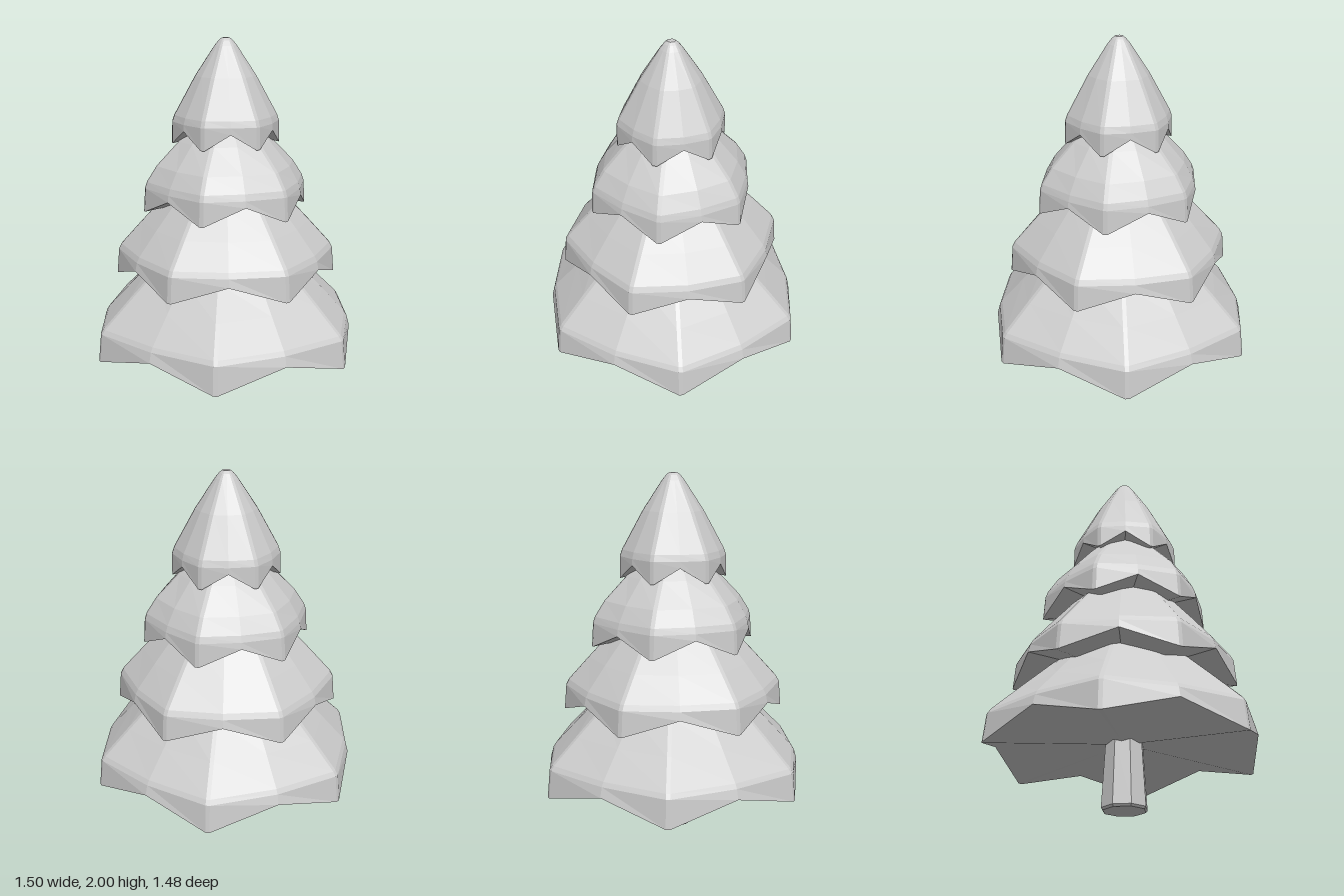
import * as THREE from 'three';

// One skirt of branches: six drooping bevelled corners with raised points between.
// rows: [corner radius, corner y, mid radius, mid y] from the rim upwards.
function tierGeometry(turn, rows, underY) {
  const pos = [], index = [], n = 18;
  for (const [r, y, mr, my] of rows) {
    const d = Math.min(0.011 / r, 0.12);
    for (let k = 0; k < 6; k++) {
      const a = THREE.MathUtils.degToRad(turn + 60 * k);
      const add = (ang, rad, h) => pos.push(Math.cos(ang) * rad, h, Math.sin(ang) * rad);
      add(a - d, r, y);
      add(a + d, r, y);
      add(a + Math.PI / 6, mr, my);
    }
  }
  const last = rows.length - 1;
  const under = pos.length / 3, cap = under + 1;
  pos.push(0, underY, 0, 0, rows[last][1], 0);
  for (let i = 0; i < n; i++) {
    const j = (i + 1) % n;
    for (let s = 0; s < last; s++) {
      const b = s * n, t = b + n;
      index.push(b + i, t + i, t + j, b + i, t + j, b + j);
    }
    index.push(under, i, j, cap, last * n + j, last * n + i);
  }
  const g = new THREE.BufferGeometry();
  g.setAttribute('position', new THREE.Float32BufferAttribute(pos, 3));
  g.setIndex(index);
  const flat = g.toNonIndexed();
  flat.computeVertexNormals();
  return flat;
}

export function createModel() {
  const tree = new THREE.Group();
  tree.name = 'pineTree';
  const grey = new THREE.MeshStandardMaterial({ color: 0xcccccc });
  grey.name = 'plain grey';
  grey.flatShading = true;

  const add = (name, geometry) => {
    const mesh = new THREE.Mesh(geometry, grey);
    mesh.name = name;
    tree.add(mesh);
  };

  // Trunk with a small bevel at the foot
  const profile = [[0, 0], [0.117, 0], [0.126, 0.012], [0.104, 0.36], [0.1, 0.45]];
  const trunk = new THREE.LatheGeometry(profile.map(([x, y]) => new THREE.Vector2(x, y)), 8);
  trunk.rotateY(0.15);
  add('trunk', trunk);

  // Branch tiers, each turned differently
  add('bottomBranches', tierGeometry(-14, [
    [0.768, 0.28, 0.71, 0.38],
    [0.752, 0.435, 0.695, 0.435],
    [0.735, 0.46, 0.68, 0.46],
    [0.59, 0.6, 0.55, 0.6],
    [0.43, 0.75, 0.41, 0.75],
    [0.28, 0.88, 0.27, 0.88],
  ], 0.36));
  add('lowerBranches', tierGeometry(10.5, [
    [0.615, 0.69, 0.57, 0.785],
    [0.603, 0.83, 0.56, 0.83],
    [0.587, 0.86, 0.545, 0.86],
    [0.47, 0.99, 0.44, 0.99],
    [0.34, 1.13, 0.32, 1.13],
    [0.2, 1.26, 0.19, 1.26],
  ], 0.76));
  add('upperBranches', tierGeometry(-2, [
    [0.46, 1.07, 0.426, 1.165],
    [0.452, 1.2, 0.42, 1.2],
    [0.44, 1.235, 0.408, 1.235],
    [0.385, 1.32, 0.36, 1.32],
    [0.26, 1.45, 0.25, 1.45],
    [0.15, 1.56, 0.145, 1.56],
  ], 1.14));
  add('topBranches', tierGeometry(6.5, [
    [0.294, 1.435, 0.276, 1.52],
    [0.292, 1.555, 0.274, 1.555],
    [0.28, 1.59, 0.264, 1.59],
    [0.165, 1.8, 0.158, 1.8],
    [0.06, 1.96, 0.057, 1.96],
    [0.038, 1.987, 0.036, 1.987],
    [0.022, 2, 0.02, 2],
  ], 1.5));

  return tree;
}
